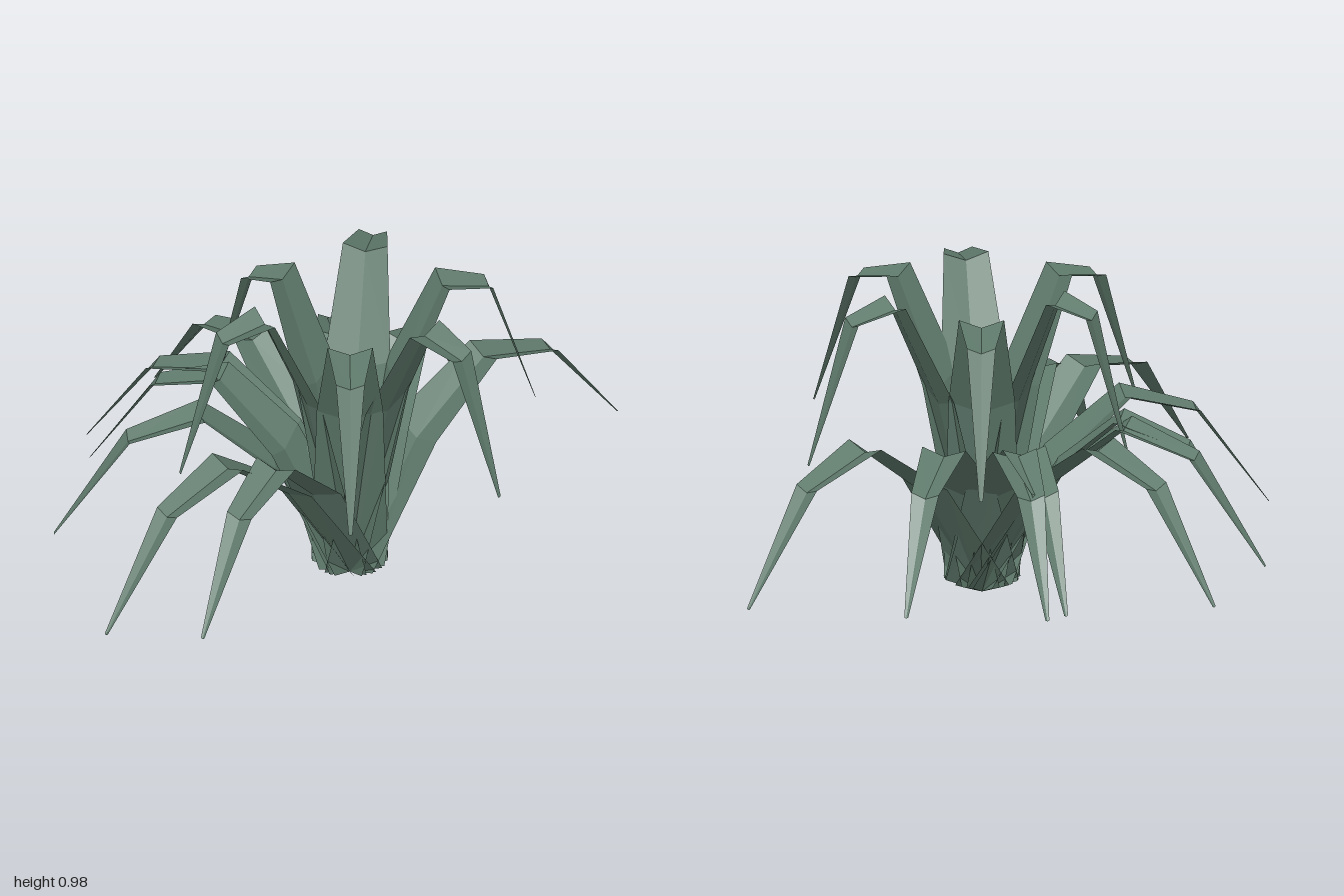
import * as THREE from 'three';

// Shared leaf profile: distance along the reach, heights of fold and edges, half width
const REACH = [0, 0.25, 0.5, 0.75, 1];
const HALF_WIDTH = [0.115, 0.1, 0.068, 0.043, 0.006];
const LOW = { fold: [0, 0.38, 0.575, 0.51, 0.2], edge: [0.05, 0.415, 0.6, 0.527, 0.203] };
const TALL = { fold: [0, 0.625, 0.95, 0.92, 0.5], edge: [0.05, 0.66, 0.975, 0.937, 0.503] };
const ROOT_Z = 0.2;

// Ground positions [x, z] of the leaf tips
const LOW_TIPS = [
  [1, 0.2], [0.72, -0.19], [0.44, -0.51], [0.37, -0.52], [0, -0.78],
  [-0.36, -0.64], [-0.43, -0.53], [-0.78, -0.24], [-1, 0.32], [-0.78, 0.51],
];
const TALL_TIPS = [
  [0.56, 0.38], [0.13, 0.78], [-0.36, 0.69], [-0.56, 0.1], [-0.17, -0.25], [0.42, -0.21],
];

// A V-folded strip running outwards along +x
function leafGeometry(reach, profile) {
  const positions = [];
  const index = [];
  REACH.forEach((t, i) => {
    const x = t * reach;
    const w = HALF_WIDTH[i];
    positions.push(x, profile.edge[i], -w, x, profile.fold[i], 0, x, profile.edge[i], w);
    if (i === 0) return;
    for (let side = 0; side < 2; side++) {
      const a = (i - 1) * 3 + side;
      const b = a + 3;
      index.push(a, a + 1, b, a + 1, b + 1, b);
    }
  });
  const geometry = new THREE.BufferGeometry();
  geometry.setAttribute('position', new THREE.Float32BufferAttribute(positions, 3));
  geometry.setIndex(index);
  const flat = geometry.toNonIndexed();
  flat.computeVertexNormals();
  return flat;
}

export function createModel() {
  const plant = new THREE.Group();
  plant.name = 'plant';
  const leafGreen = new THREE.MeshStandardMaterial({
    color: 0x5f7a6c, flatShading: true, side: THREE.DoubleSide,
  });
  leafGreen.name = 'leafGreen';

  // One ring of leaves, each turned about the root towards its tip
  function addLeaves(name, tips, profile) {
    const ring = new THREE.Group();
    ring.name = name + 'Leaves';
    tips.forEach(([x, z], i) => {
      const dz = z - ROOT_Z;
      const leaf = new THREE.Mesh(leafGeometry(Math.hypot(x, dz), profile), leafGreen);
      leaf.name = `${name}Leaf${i + 1}`;
      leaf.rotation.y = Math.atan2(-dz, x);
      leaf.position.z = ROOT_Z;
      ring.add(leaf);
    });
    plant.add(ring);
  }

  addLeaves('low', LOW_TIPS, LOW);
  addLeaves('tall', TALL_TIPS, TALL);
  return plant;
}
